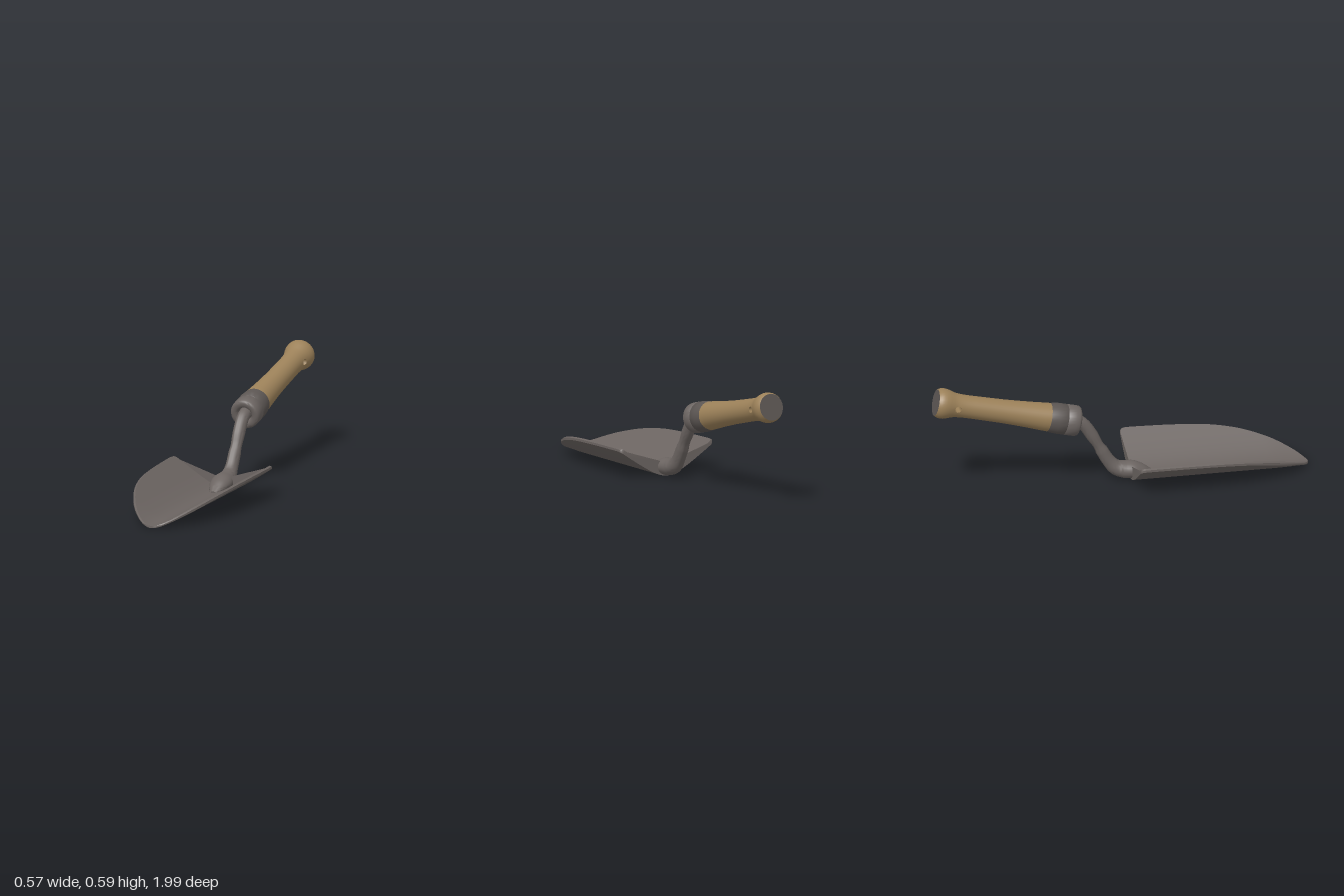
import * as THREE from 'three';
import { toCreasedNormals } from 'three/addons/utils/BufferGeometryUtils.js';

const V3 = (x, y, z) => new THREE.Vector3(x, y, z);
const V2 = ([x, y]) => new THREE.Vector2(x, y);

// Skin closed rings (counterclockwise seen from the front) running back to front, with end caps.
function loft(rings, crease) {
  const n = rings[0].length, pos = [], index = [];
  const add = (p) => pos.push(p.x, p.y, p.z);
  rings.forEach((ring) => ring.forEach(add));
  for (let i = 0; i < rings.length - 1; i++) {
    for (let k = 0; k < n; k++) {
      const a = i * n + k, b = i * n + (k + 1) % n;
      index.push(a, b, b + n, a, b + n, a + n);
    }
  }
  const last = (rings.length - 1) * n;
  for (const base of [0, last]) {
    const shape = rings[base / n];
    const mid = shape.reduce((s, p) => s.add(p), V3(0, 0, 0)).divideScalar(n);
    const c = pos.length / 3;
    add(mid);
    for (let k = 0; k < n; k++) {
      const a = base + k, b = base + (k + 1) % n;
      if (base) index.push(c, a, b); else index.push(c, b, a);
    }
  }
  const g = new THREE.BufferGeometry();
  g.setAttribute('position', new THREE.Float32BufferAttribute(pos, 3));
  g.setIndex(index);
  return toCreasedNormals(g, crease);
}

// Curved sheet: a trough profile trimmed by a half-width outline along z.
function bladeGeometry() {
  const outline = [[0.055, 0.25], [0.058, 0.268], [0.07, 0.278], [0.1, 0.281], [0.2, 0.279], [0.3, 0.276],
    [0.4, 0.271], [0.5, 0.263], [0.6, 0.247], [0.7, 0.221], [0.8, 0.181], [0.87, 0.143],
    [0.93, 0.1], [0.965, 0.066], [0.985, 0.038], [0.998, 0.01]];
  const slope = 0.7, c = 0.08, cols = 28;
  const rings = new THREE.SplineCurve(outline.map(V2)).getPoints(75).map(({ x: z, y: half }) => {
    const t = 0.01 - 0.004 * THREE.MathUtils.smoothstep(z, 0.8, 1);
    const at = (u, offset, out = 0) => {
      const x = u * half, root = Math.hypot(x, c), d = slope * x / root, len = Math.hypot(1, d);
      return V3(x + (out - offset * d) / len, 0.01 + slope * (root - c) + (offset + out * d) / len, z);
    };
    const ring = [];
    for (let i = 0; i <= cols; i++) ring.push(at(i / cols * 2 - 1, -t));
    ring.push(at(1, 0, 0.006));
    for (let i = cols; i >= 0; i--) ring.push(at(i / cols * 2 - 1, t));
    ring.push(at(-1, 0, -0.006));
    return ring;
  });
  return loft(rings, 0.9);
}

// Bent shank flaring into a flattened foot on the blade: [z, y, half width, half height].
function shankGeometry() {
  const stations = [[-0.27, 0.36, 0.033, 0.033], [-0.22, 0.347, 0.033, 0.033], [-0.187, 0.318, 0.033, 0.033],
    [-0.15, 0.262, 0.033, 0.033], [-0.1, 0.175, 0.033, 0.033], [-0.06, 0.108, 0.034, 0.035],
    [-0.025, 0.07, 0.041, 0.041], [0.02, 0.053, 0.052, 0.045], [0.065, 0.049, 0.058, 0.046],
    [0.11, 0.04, 0.052, 0.036], [0.15, 0.028, 0.038, 0.022], [0.185, 0.018, 0.018, 0.008]];
  const path = new THREE.CatmullRomCurve3(stations.map(([z, y]) => V3(0, y, z)));
  const size = new THREE.CatmullRomCurve3(stations.map(([, , a, b]) => V3(a, b, 0)));
  const steps = 55, sides = 24, rings = [];
  for (let i = 0; i <= steps; i++) {
    const p = path.getPoint(i / steps), d = path.getTangent(i / steps), r = size.getPoint(i / steps);
    rings.push(Array.from({ length: sides }, (_, k) => {
      const a = k / sides * Math.PI * 2, h = r.y * Math.sin(a);
      return V3(r.x * Math.cos(a), Math.max(0.001, p.y + d.z * h), p.z - d.y * h);
    }));
  }
  return loft(rings, 1);
}

const SIDES = 32;
// Turned part whose axis runs back along -z: [radius, distance].
const turned = (profile) =>
  toCreasedNormals(new THREE.LatheGeometry(profile.map(V2), SIDES), 0.7).rotateX(-Math.PI / 2);

// Wooden grip with a round hanging hole bored from side to side.
function gripGeometry() {
  const profile = [[0.075, 0.165], [0.073, 0.2], [0.069, 0.26], [0.065, 0.34], [0.062, 0.42], [0.061, 0.5],
    [0.06, 0.58], [0.06, 0.62], [0.061, 0.645], [0.062, 0.658], [0.063, 0.67], [0.065, 0.682], [0.068, 0.695],
    [0.075, 0.715], [0.0795, 0.735], [0.08, 0.75], [0.077, 0.767], [0.07, 0.78]];
  const n = profile.length, row = 10, radius = 0.018, quarter = SIDES / 4;
  const g = new THREE.LatheGeometry(profile.map(V2), SIDES);
  const pos = g.attributes.position;
  const around = [[0, 1], [1, 1], [1, 0], [1, -1], [0, -1], [-1, -1], [-1, 0], [-1, 1]];
  const vertex = (side, [di, dj]) => (side > 0 ? quarter + di : SIDES - quarter - di) * n + row + dj;
  const blocks = [1, -1].map((side) => new Set([vertex(side, [0, 0]), ...around.map((o) => vertex(side, o))]));
  // Pull the vertices around each opening onto a circle.
  for (const side of [1, -1]) {
    for (const o of around) {
      const t = Math.atan2(o[0], o[1]), z = -radius * Math.sin(t), r = profile[row + o[1]][0];
      pos.setXYZ(vertex(side, o), side * Math.sqrt(r * r - z * z), profile[row][1] + radius * Math.cos(t), z);
    }
  }
  // Drop the faces inside the openings, then line the bore.
  const old = g.index.array, index = [];
  for (let i = 0; i < old.length; i += 3) {
    const tri = [old[i], old[i + 1], old[i + 2]];
    if (!blocks.some((b) => tri.every((v) => b.has(v)))) index.push(...tri);
  }
  around.forEach((o, k) => {
    const next = around[(k + 1) % 8];
    const a = vertex(1, o), b = vertex(1, next), c = vertex(-1, o), d = vertex(-1, next);
    index.push(a, c, b, b, c, d);
  });
  g.setIndex(index);
  return toCreasedNormals(g, 0.9).rotateX(-Math.PI / 2);
}

export function createModel() {
  const material = (name, color) => Object.assign(new THREE.MeshStandardMaterial({ color }), { name });
  const steel = material('steel', 0x6b6461);
  const darkSteel = material('dark steel', 0x5c5653);
  const wood = material('wood', 0x9c8159);

  const model = new THREE.Group();
  model.name = 'trowel';
  const add = (parent, name, geometry, mat) => {
    const mesh = new THREE.Mesh(geometry, mat);
    mesh.name = name;
    parent.add(mesh);
  };

  add(model, 'blade', bladeGeometry(), steel);
  add(model, 'shank', shankGeometry(), steel);

  // Handle, tilted up towards the back
  const handle = new THREE.Group();
  handle.name = 'handle';
  handle.position.set(0, 0.348, -0.22);
  handle.rotation.x = 0.225;
  model.add(handle);
  add(handle, 'ferrule', turned([[0, 0.035], [0.037, 0.035], [0.037, 0.016], [0.042, 0.005], [0.052, 0],
    [0.066, 0], [0.075, 0.004], [0.08, 0.013], [0.081, 0.03], [0.081, 0.07], [0.078, 0.074]]), steel);
  add(handle, 'ferruleBand', turned([[0.078, 0.074], [0.081, 0.079], [0.081, 0.12], [0.078, 0.15],
    [0.075, 0.165]]), darkSteel);
  add(handle, 'grip', gripGeometry(), wood);
  add(handle, 'endCap', turned([[0.07, 0.78], [0, 0.78]]), darkSteel);
  return model;
}
